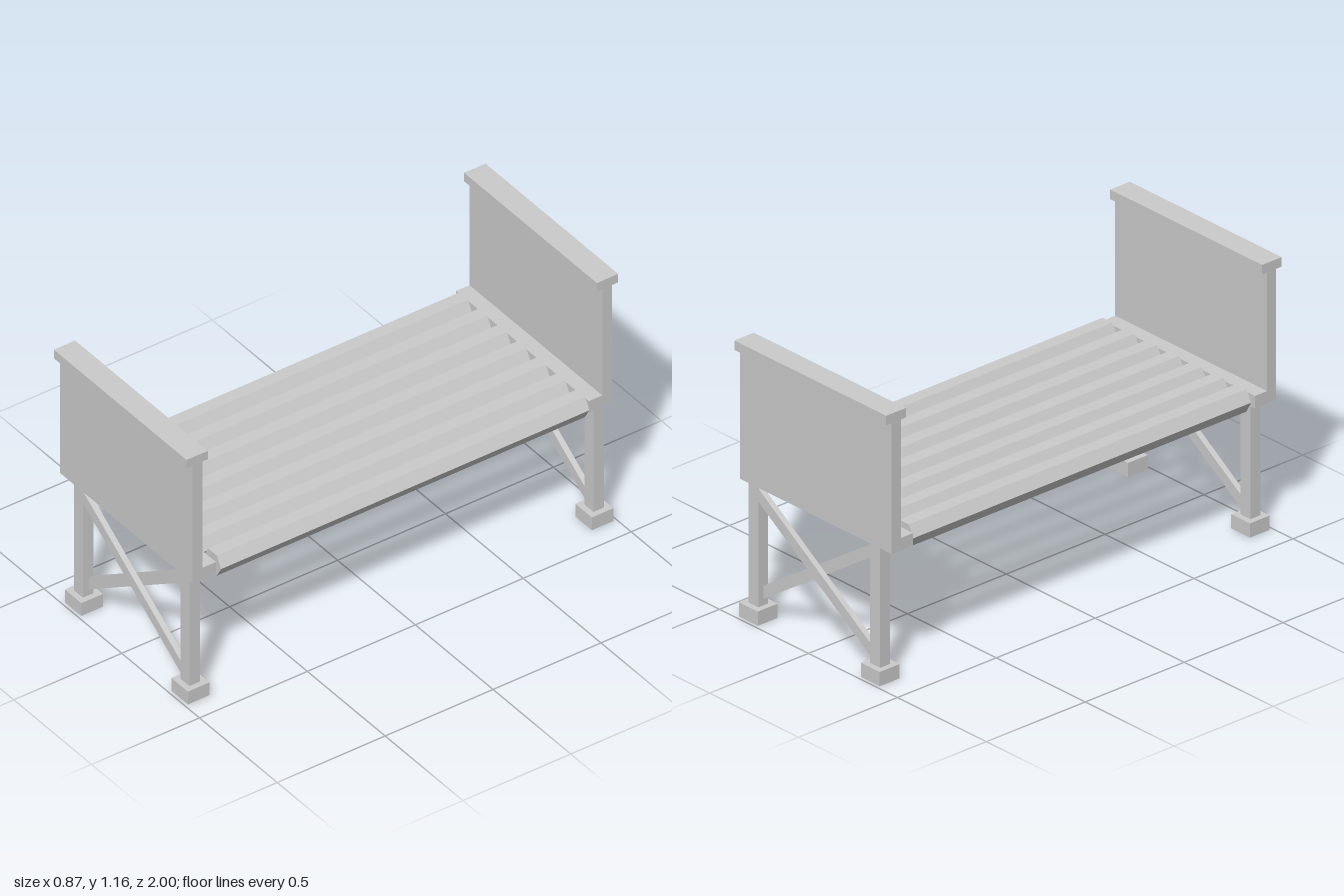
import * as THREE from 'three';

export function createModel() {
  const model = new THREE.Group();
  model.name = 'bed';
  const grey = new THREE.MeshStandardMaterial({ color: 0xcccccc, flatShading: true });
  const shell = new THREE.MeshStandardMaterial({ color: 0xcccccc, flatShading: true, side: THREE.DoubleSide });

  const add = (parent, name, geometry, material = grey) => {
    const mesh = new THREE.Mesh(geometry, material);
    mesh.name = name;
    parent.add(mesh);
    return mesh;
  };
  // Box given by its lower and upper limits on each axis
  const block = (x0, x1, y0, y1, z0, z1) =>
    new THREE.BoxGeometry(x1 - x0, y1 - y0, Math.abs(z1 - z0))
      .translate((x0 + x1) / 2, (y0 + y1) / 2, (z0 + z1) / 2);

  // Foot: a cap without a floor
  const footGeometry = (x, z) => {
    const g = block(x - 0.053, x + 0.053, 0, 0.06, z - 0.05, z + 0.05);
    const index = Array.from(g.index.array);
    index.splice(18, 6); // remove the underside
    g.setIndex(index);
    g.clearGroups();
    return g;
  };

  // Diagonal brace between the legs, its ends cut upright
  const braceGeometry = (yLeft, yRight, z) => {
    const h = 0.0275;
    const shape = new THREE.Shape([
      new THREE.Vector2(-0.304, yLeft - h), new THREE.Vector2(0.325, yRight - h),
      new THREE.Vector2(0.325, yRight + h), new THREE.Vector2(-0.304, yLeft + h),
    ]);
    return new THREE.ExtrudeGeometry(shape, { depth: 0.024, bevelEnabled: false }).translate(0, 0, z);
  };

  // Headboard and footboard ends
  const xMin = -0.437, xMax = 0.417;
  for (const [name, s] of [['footEnd', 1], ['headEnd', -1]]) {
    const end = new THREE.Group();
    end.name = name;
    model.add(end);
    add(end, 'panel', block(xMin, xMax, 0.57, 1.12, s * 0.926, s * 0.972));
    add(end, 'topRail', block(xMin, xMax, 1.12, 1.16, s * 0.901, s));
    add(end, 'slatLedge', block(xMin, xMax, 0.57, 0.622, s * 0.864, s * 0.926));

    const z = s * 0.936;
    for (const x of [-0.332, 0.353]) {
      add(end, 'leg', block(x - 0.028, x + 0.028, 0.06, 0.57, z - 0.025, z + 0.025));
      add(end, 'foot', footGeometry(x, z), shell);
    }
    add(end, 'fallingBrace', braceGeometry(0.53, 0.115, z));
    add(end, 'risingBrace', braceGeometry(0.115, 0.53, z - 0.024));
  }

  // Seven hexagonal slats along the bed
  const slats = new THREE.Group();
  slats.name = 'slats';
  model.add(slats);
  const slatGeometry = new THREE.CylinderGeometry(0.055, 0.055, 1.706, 6)
    .rotateY(Math.PI / 2).rotateX(Math.PI / 2);
  for (let i = -3; i <= 3; i++) {
    add(slats, 'slat', slatGeometry).position.set(0.003 + i * 0.1255, 0.594, 0);
  }
  return model;
}
